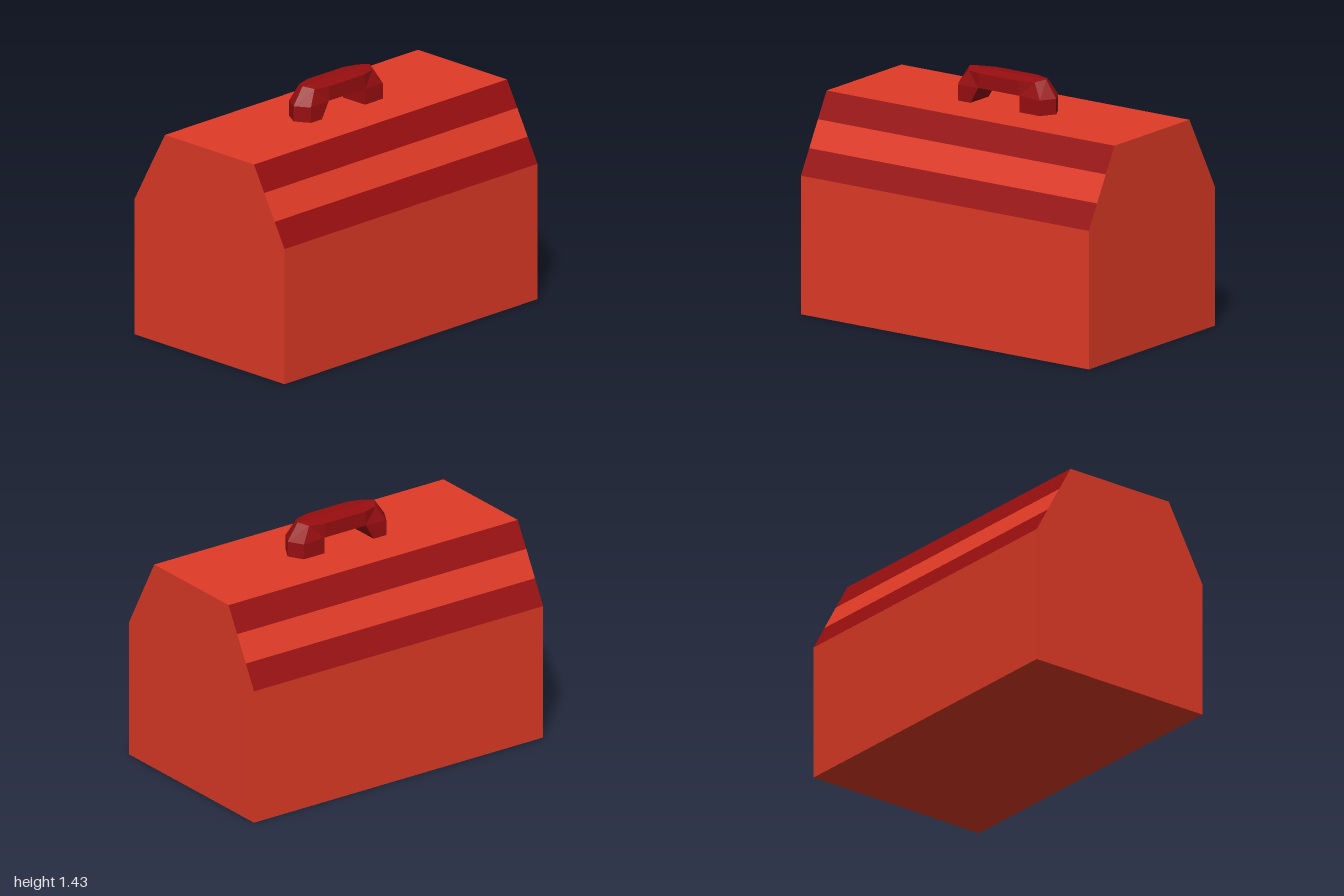
import * as THREE from 'three';

const red = new THREE.MeshStandardMaterial({ color: 0xe03a26 });
red.name = 'red paint';
const darkRed = new THREE.MeshStandardMaterial({ color: 0x980e10 });
darkRed.name = 'dark red paint';

// Flat-faced geometry from quads, each four [x, y, z] corners counter-clockwise
function quads(list) {
  const pos = [];
  for (const [a, b, c, d] of list) pos.push(...a, ...b, ...c, ...a, ...c, ...d);
  const g = new THREE.BufferGeometry();
  g.setAttribute('position', new THREE.Float32BufferAttribute(pos, 3));
  g.computeVertexNormals();
  return g;
}

function add(parent, name, geometry, material) {
  const mesh = new THREE.Mesh(geometry, material);
  mesh.name = name;
  parent.add(mesh);
}

function createBox() {
  const box = new THREE.Group();
  box.name = 'box';
  // Section as [z, y], from the front bottom edge over the top to the back
  const front = [[0.59, 0], [0.59, 0.8], [0.513, 0.942], [0.431, 1.092], [0.35, 1.24]];
  const section = [...front, ...front.map(([z, y]) => [-z, y]).reverse()];
  const names = ['frontWall', 'frontLowerBand', 'frontMiddleBand', 'frontUpperBand', 'topPanel',
    'backUpperBand', 'backMiddleBand', 'backLowerBand', 'backWall', 'floor'];
  section.forEach(([z, y], i) => {
    const [z2, y2] = section[(i + 1) % section.length];
    const dark = /LowerBand|UpperBand/.test(names[i]);
    add(box, names[i], quads([[[-1, y, z], [1, y, z], [1, y2, z2], [-1, y2, z2]]]), dark ? darkRed : red);
  });
  // End panels
  const shape = new THREE.Shape(section.map(([z, y]) => new THREE.Vector2(z, y)));
  for (const s of [-1, 1]) {
    const end = new THREE.ShapeGeometry(shape).rotateY(s * Math.PI / 2).translate(s, 0, 0);
    add(box, s > 0 ? 'leftEnd' : 'rightEnd', end, red);
  }
  return box;
}

function handleGeometry() {
  const w = 0.086;
  // Half of the sweep: ridge x, y; shoulder x, y, z; inner edge x, y
  const half = (footX) => [
    [0.335, 1.235, 0.285, 1.235, w, footX, 1.235],
    [0.335, 1.33, 0.285, 1.33, w, 0.143, 1.335],
    [0.265, 1.43, 0.23, 1.42, 0.06, 0.143, 1.335],
    [0.14, 1.43, 0.14, 1.42, w, 0.143, 1.335],
  ];
  const ring = (s) => ([rx, ry, cx, cy, cz, ix, iy]) => [
    [s * rx, ry, 0], [s * cx, cy, cz], [s * ix, iy, w], [s * ix, iy, -w], [s * cx, cy, -cz],
  ];
  const rings = [...half(0.2).map(ring(-1)), ...half(0.143).map(ring(1)).reverse()];
  const faces = [];
  for (let i = 0; i < rings.length - 1; i++) {
    for (let j = 0; j < 5; j++) {
      const k = (j + 1) % 5;
      faces.push([rings[i][j], rings[i][k], rings[i + 1][k], rings[i + 1][j]]);
    }
  }
  return quads(faces);
}

export function createModel() {
  const model = new THREE.Group();
  model.name = 'toolbox';
  model.add(createBox());
  add(model, 'handle', handleGeometry(), darkRed);
  return model;
}
